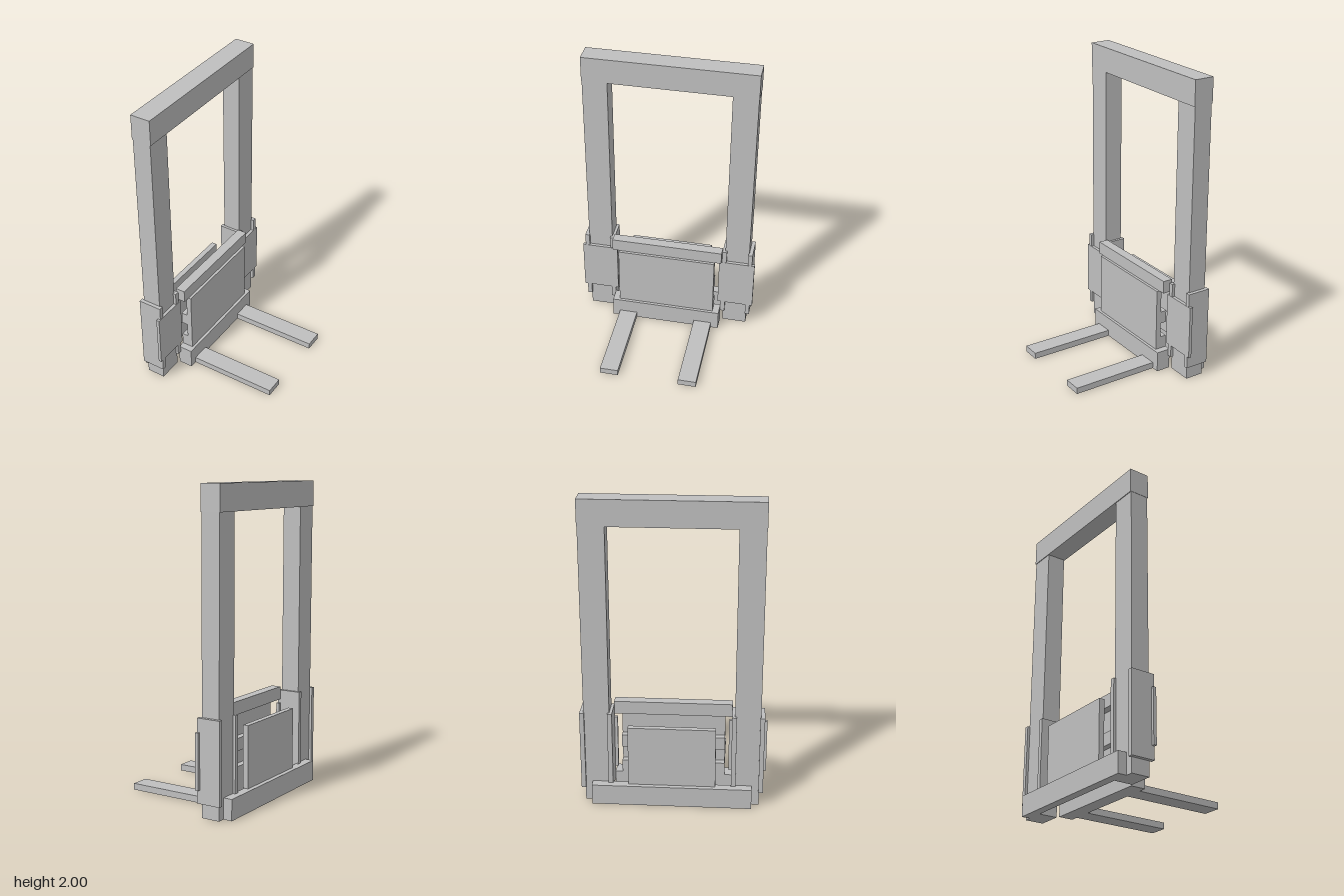
import * as THREE from 'three';

export function createModel() {
  const group = new THREE.Group();
  const grey = new THREE.MeshStandardMaterial({ color: 0xbfbfbf });
  grey.name = 'light grey';

  // Box given by its extents along each axis
  function box(name, [x0, x1], [y0, y1], [z0, z1]) {
    const mesh = new THREE.Mesh(new THREE.BoxGeometry(x1 - x0, y1 - y0, z1 - z0), grey);
    mesh.position.set((x0 + x1) / 2, (y0 + y1) / 2, (z0 + z1) / 2);
    mesh.name = name;
    group.add(mesh);
  }

  // Same box on both z sides
  function pair(name, x, y, [z0, z1]) {
    box(name + 'Near', x, y, [z0, z1]);
    box(name + 'Far', x, y, [-z1, -z0]);
  }

  // Mast frame
  pair('mastUpright', [-0.38, -0.257], [0, 1.84], [0.395, 0.558]);
  box('mastTopBeam', [-0.385, -0.252], [1.835, 2], [-0.56, 0.56]);
  box('mastBackBeam', [-0.438, -0.38], [0, 0.135], [-0.51, 0.51]);
  box('backPanel', [-0.408, -0.372], [0.135, 0.535], [-0.278, 0.278]);

  // Sliding brackets around the uprights
  pair('outerBracket', [-0.397, -0.238], [0.095, 0.622], [0.553, 0.582]);
  pair('innerBracket', [-0.397, -0.238], [0.095, 0.622], [0.377, 0.407]);
  pair('bracketFace', [-0.257, -0.236], [0.18, 0.535], [0.357, 0.6]);

  // Carriage
  box('carriageTopBeam', [-0.255, -0.19], [0.56, 0.645], [-0.377, 0.377]);
  box('carriageBottomBeam', [-0.25, -0.153], [0, 0.137], [-0.377, 0.377]);
  box('carriagePlate', [-0.207, -0.172], [0.135, 0.56], [-0.332, 0.332]);
  for (const y of [0.137, 0.32]) {
    box('carriageCrossbar', [-0.25, -0.207], [y, y + 0.083], [-0.332, 0.332]);
  }

  // Forks
  pair('fork', [-0.155, 0.437], [0, 0.042], [0.205, 0.327]);

  return group;
}
